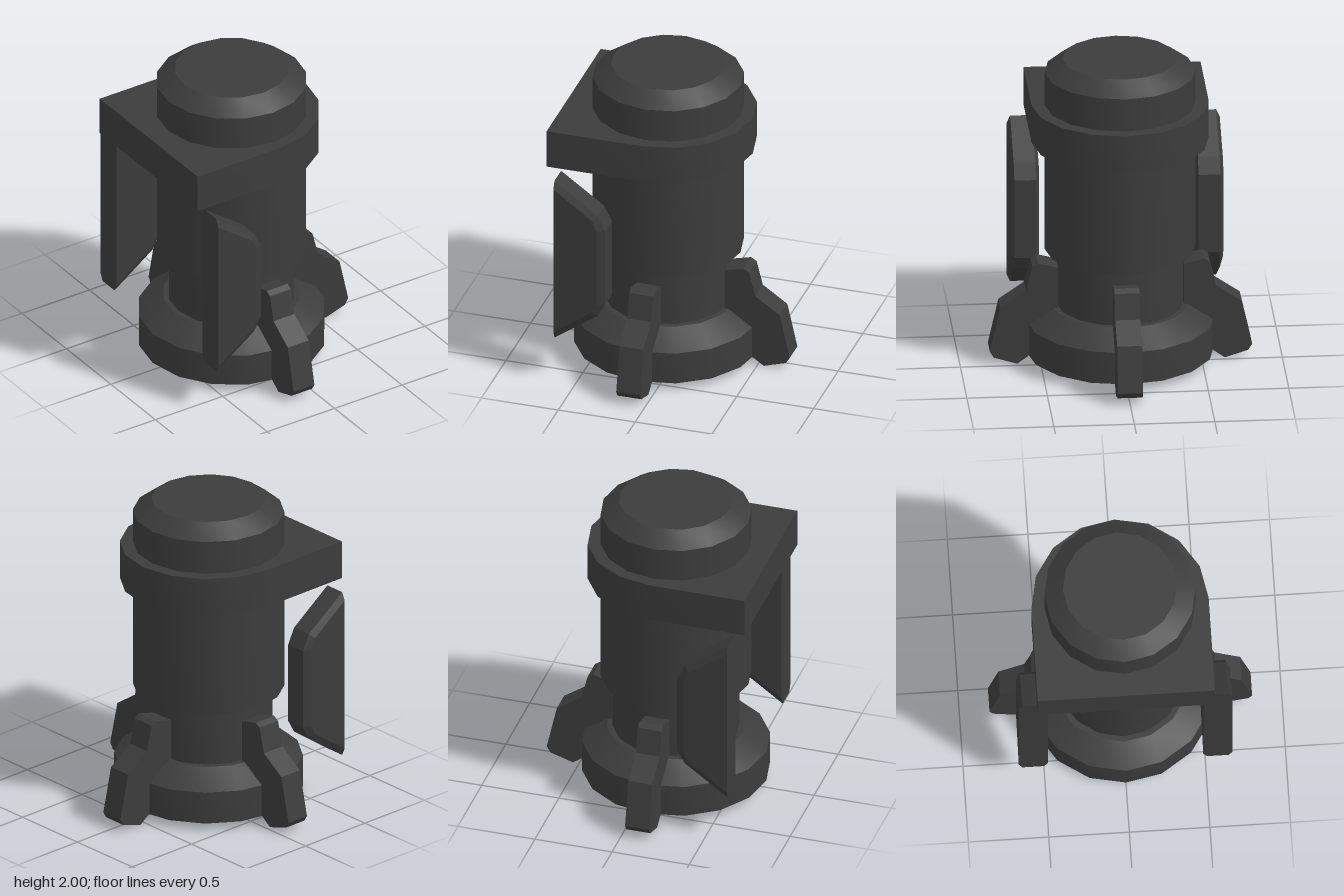
import * as THREE from 'three';
import { toCreasedNormals } from 'three/addons/utils/BufferGeometryUtils.js';
import { ConvexGeometry } from 'three/addons/geometries/ConvexGeometry.js';

const AXIS_X = -0.105; // the round parts share this vertical axis
const SIDES = 16;
const dark = new THREE.MeshStandardMaterial({ color: 0x3c3c3c });
const darkShell = new THREE.MeshStandardMaterial({ color: 0x3c3c3c, side: THREE.DoubleSide });

const v2 = ([x, y]) => new THREE.Vector2(x, y);

function addMesh(parent, name, geometry, material = dark) {
  const mesh = new THREE.Mesh(geometry, material);
  mesh.name = name;
  parent.add(mesh);
  return mesh;
}

// Faceted body of revolution, smooth around and sharp at the rims
function turned(profile) {
  return toCreasedNormals(new THREE.LatheGeometry(profile.map(v2), SIDES), 0.6);
}

// Round collar with a square block towards -x
function collarGeometry(radius, blockX, height) {
  const outline = [];
  for (let i = 0; i <= SIDES / 2; i++) {
    const a = -Math.PI / 2 + (i / SIDES) * Math.PI * 2;
    outline.push(new THREE.Vector2(radius * Math.cos(a), radius * Math.sin(a)));
  }
  outline.push(new THREE.Vector2(blockX, radius), new THREE.Vector2(blockX, -radius));
  const geo = new THREE.ExtrudeGeometry(new THREE.Shape(outline), { depth: height, bevelEnabled: false });
  geo.rotateX(-Math.PI / 2);
  return toCreasedNormals(geo, 0.6);
}

// Bent foot: profile in (distance from axis, height), extruded to its width
function legGeometry(width) {
  const profile = [
    [0.39, 0.635], [0.39, 0.33], [0.5, 0.27], [0.575, 0.05], [0.645, 0.0], [0.79, 0.045],
    [0.815, 0.085], [0.75, 0.375], [0.59, 0.485], [0.55, 0.645], [0.515, 0.667],
  ];
  const geo = new THREE.ExtrudeGeometry(new THREE.Shape(profile.map(v2)), { depth: width, bevelEnabled: false });
  return geo.translate(0, 0, -width / 2);
}

// Side plate: full outline in the middle, chamfered on both faces, flat at the -x end
function plateGeometry(side) {
  const full = [[-0.64, 1.41], [-0.36, 1.21], [-0.31, 1.11], [-0.31, 0.59], [-0.36, 0.5], [-0.64, 0.3]];
  const face = [[-0.64, 1.36], [-0.39, 1.18], [-0.36, 1.11], [-0.36, 0.59], [-0.39, 0.53], [-0.64, 0.35]];
  const points = [];
  const section = (outline, z) => outline.forEach(([x, y]) => points.push(new THREE.Vector3(x, y, z * side)));
  section(face, 0.482);
  section(full, 0.505);
  section(full, 0.64);
  section(face, 0.663);
  return new ConvexGeometry(points);
}

export function createModel() {
  const model = new THREE.Group();
  model.name = 'model';

  const column = new THREE.Group();
  column.name = 'column';
  column.position.x = AXIS_X;
  model.add(column);

  // Hollow skirt, open underneath
  addMesh(column, 'baseSkirt',
    turned([[0.585, 0.05], [0.585, 0.26], [0.43, 0.365], [0.39, 0.365]]), darkShell);

  // Neck and main cylinder with bevelled top
  addMesh(column, 'neck', turned([[0, 0.36], [0.395, 0.36], [0.395, 0.74]]));
  addMesh(column, 'mainCylinder',
    turned([[0, 0.735], [0.47, 0.735], [0.47, 1.915], [0.355, 2], [0, 2]]));

  // Collar
  addMesh(column, 'collar', collarGeometry(0.55, -0.615, 0.25)).position.y = 1.45;

  // Legs towards +x, +z and -z
  const leg = legGeometry(0.155);
  [['leftLeg', 0], ['frontLeg', -Math.PI / 2], ['backLeg', Math.PI / 2]].forEach(([name, angle]) => {
    addMesh(column, name, leg).rotation.y = angle;
  });

  // Side plates
  addMesh(model, 'frontPlate', plateGeometry(1));
  addMesh(model, 'backPlate', plateGeometry(-1));

  return model;
}
